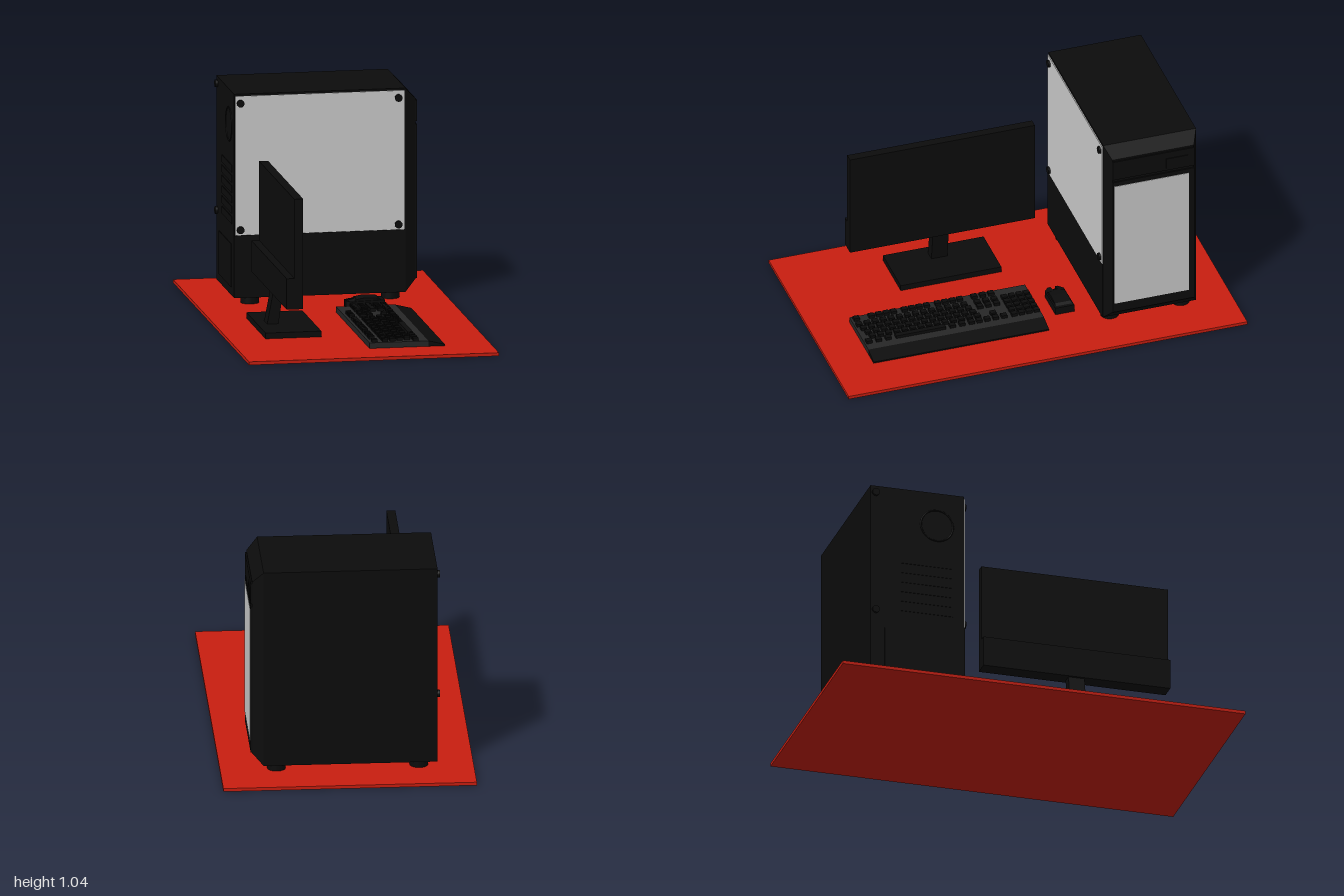
import * as THREE from 'three';

const mat = (color, flat = false) =>
  new THREE.MeshStandardMaterial({ color, flatShading: flat, side: THREE.DoubleSide });
const red = mat(0xc81e10), black = mat(0x0c0c0c), charcoal = mat(0x262626);
const glass = mat(0xcccccc);

function add(parent, name, geometry, material) {
  const mesh = new THREE.Mesh(geometry, material);
  mesh.name = name;
  parent.add(mesh);
  return mesh;
}

// Box given by its extents
function box(parent, name, [x0, x1], [y0, y1], [z0, z1], material = black) {
  const mesh = add(parent, name, new THREE.BoxGeometry(x1 - x0, y1 - y0, z1 - z0), material);
  mesh.position.set((x0 + x1) / 2, (y0 + y1) / 2, (z0 + z1) / 2);
  return mesh;
}

// Side profile in x and y, extruded along z
function profile(parent, name, points, [z0, z1], material = black) {
  const shape = new THREE.Shape(points.map(([x, y]) => new THREE.Vector2(x, y)));
  const geometry = new THREE.ExtrudeGeometry(shape, { depth: z1 - z0, bevelEnabled: false });
  geometry.translate(0, 0, z0);
  return add(parent, name, geometry, material);
}

function cylinder(parent, name, radius, height, axis, position) {
  const geometry = new THREE.CylinderGeometry(radius, radius, height, 24);
  if (axis === 'x') geometry.rotateZ(Math.PI / 2);
  if (axis === 'z') geometry.rotateX(Math.PI / 2);
  const mesh = add(parent, name, geometry, black);
  mesh.position.set(...position);
  return mesh;
}

function makeTower() {
  const g = new THREE.Group();
  g.name = 'computerTower';
  box(g, 'caseBody', [-0.43, 0.4], [0.05, 1.04], [-0.81, -0.345]);
  box(g, 'sideWindow', [-0.425, 0.395], [0.355, 1.03], [-0.346, -0.34], glass);
  box(g, 'lowerShroud', [-0.43, 0.4], [0.05, 0.353], [-0.346, -0.341]);

  // Nose: a box narrowed toward the front panel
  const nose = box(g, 'frontNose', [0.4, 0.453], [0.05, 1.04], [-0.81, -0.345]);
  const p = nose.geometry.attributes.position;
  for (let i = 0; i < p.count; i++) {
    if (p.getX(i) > 0) p.setXYZ(i, p.getX(i), p.getY(i) * 0.887, p.getZ(i) * 0.88);
  }
  nose.geometry.computeVertexNormals();

  // Front plates with a gap between them, and the grey front panel
  box(g, 'lowerFrontPlate', [0.45, 0.46], [0.11, 0.858], [-0.783, -0.373]);
  box(g, 'upperFrontPlate', [0.45, 0.46], [0.872, 0.975], [-0.783, -0.373]);
  box(g, 'frontPanel', [0.455, 0.462], [0.16, 0.835], [-0.755, -0.38], glass);
  box(g, 'portStrip', [0.455, 0.464], [0.885, 0.94], [-0.75, -0.64]);

  // Window screws, rear thumbscrews and feet
  for (const y of [0.995, 0.38]) {
    for (const x of [-0.4, 0.365]) cylinder(g, 'windowScrew', 0.018, 0.012, 'z', [x, y, -0.336]);
    cylinder(g, 'thumbScrew', 0.018, 0.016, 'x', [-0.434, y + 0.01, -0.785]);
  }
  for (const x of [-0.345, 0.335])
    for (const z of [-0.398, -0.753]) cylinder(g, 'caseFoot', 0.044, 0.04, 'y', [x, 0.033, z]);

  // Rear: fan ring, expansion slots and power supply plate
  const fan = add(g, 'rearFanRing', new THREE.TorusGeometry(0.08, 0.004, 8, 32), black);
  fan.rotation.y = Math.PI / 2;
  fan.position.set(-0.43, 0.87, -0.48);
  for (let i = 0; i < 6; i++) {
    const y = 0.4 + i * 0.05;
    box(g, 'expansionSlot', [-0.433, -0.428], [y, y + 0.035], [-0.66, -0.4]);
  }
  box(g, 'powerSupplyPlate', [-0.433, -0.428], [0.09, 0.3], [-0.74, -0.41]);
  return g;
}

function makeMonitor() {
  const g = new THREE.Group();
  g.name = 'monitor';
  box(g, 'screenPanel', [-0.33, -0.287], [0.2, 0.735], [-0.23, 0.697]);
  box(g, 'rearHousing', [-0.367, -0.33], [0.2, 0.35], [-0.23, 0.697]);
  profile(g, 'standNeck', [[-0.385, 0.04], [-0.33, 0.04], [-0.3, 0.25], [-0.345, 0.25]], [0.195, 0.275]);
  box(g, 'standBase', [-0.43, -0.16], [0.018, 0.046], [-0.02, 0.485]);
  return g;
}

function makeKeyboard() {
  const g = new THREE.Group();
  g.name = 'keyboard';
  box(g, 'keyboardBody', [0.015, 0.3], [0.018, 0.045], [-0.08, 0.8], charcoal);
  profile(g, 'wristRest', [[0.3, 0.018], [0.38, 0.018], [0.38, 0.025], [0.3, 0.045]], [-0.08, 0.8]);

  const key = (x, z, length = 0.028) =>
    box(g, 'key', [x - 0.013, x + 0.013], [0.043, 0.06], [z - length / 2, z + length / 2]);
  const rows = [0.093, 0.13, 0.167, 0.204, 0.241];

  // Function row in groups of four
  key(0.042, 0.775);
  for (let i = 0; i < 12; i++) key(0.042, 0.7 - i * 0.037 - Math.floor(i / 4) * 0.018);
  for (let i = 0; i < 3; i++) key(0.042, 0.185 - i * 0.042);

  // Main block, staggered row by row
  rows.slice(0, 4).forEach((x, r) => {
    const start = 0.778 - r * 0.01;
    for (let i = 0; i < 14; i++) key(x, start - i * 0.0405);
  });
  for (const z of [0.778, 0.73, 0.682, 0.36, 0.312, 0.264, 0.225]) key(rows[4], z);
  key(rows[4], 0.52, 0.25);

  // Navigation keys and arrows
  for (const z of [0.185, 0.143, 0.101]) {
    key(rows[0], z);
    key(rows[1], z);
    key(rows[4], z);
  }
  key(rows[3], 0.143);

  // Number pad
  for (const x of rows) for (let i = 0; i < 4; i++) key(x, 0.05 - i * 0.037);
  return g;
}

function makeMouse() {
  const g = new THREE.Group();
  g.name = 'mouse';
  // Outline with a wheel notch between the two buttons, extruded upward
  const outline = [[0.265, -0.245], [0.265, -0.15], [0.105, -0.15], [0.08, -0.172], [0.08, -0.186],
    [0.12, -0.186], [0.12, -0.209], [0.08, -0.209], [0.08, -0.223], [0.105, -0.245]];
  const shape = new THREE.Shape(outline.map(([x, z]) => new THREE.Vector2(x, -z)));
  const geometry = new THREE.ExtrudeGeometry(shape, { depth: 0.045, bevelEnabled: false });
  geometry.rotateX(-Math.PI / 2);
  geometry.translate(0, 0.018, 0);
  // Lower the top toward the buttons and the palm end
  const p = geometry.attributes.position;
  for (let i = 0; i < p.count; i++) {
    if (p.getY(i) < 0.04) continue;
    const x = p.getX(i);
    p.setY(i, x < 0.11 ? 0.05 : x > 0.2 ? 0.055 : 0.06);
  }
  geometry.computeVertexNormals();
  add(g, 'mouseBody', geometry, black);
  profile(g, 'mousePalm', [[0.12, 0.05], [0.255, 0.05], [0.235, 0.063], [0.17, 0.067], [0.13, 0.06]],
    [-0.238, -0.157]);
  cylinder(g, 'scrollWheel', 0.014, 0.012, 'z', [0.112, 0.042, -0.1975]);
  return g;
}

export function createModel() {
  const model = new THREE.Group();
  model.name = 'desktopComputerSet';
  box(model, 'deskMat', [-0.605, 0.605], [0, 0.016], [-1, 1], red);
  model.add(makeTower(), makeMonitor(), makeKeyboard(), makeMouse());
  return model;
}
